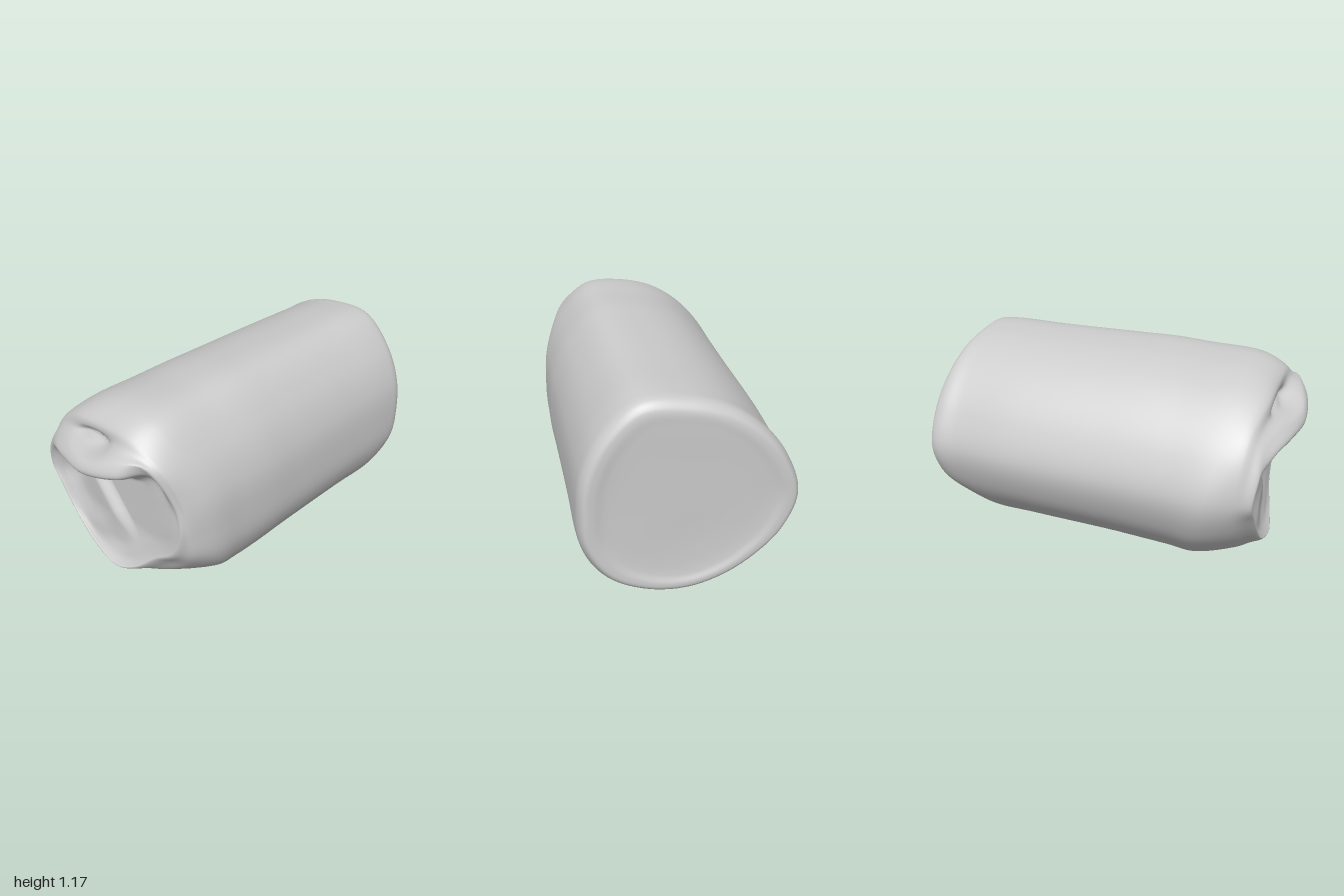
import * as THREE from 'three';
import { mergeVertices } from 'three/addons/utils/BufferGeometryUtils.js';

const SIDES = 16, STEPS = 7, AROUND = 128;
const V = (x, y, z) => new THREE.Vector3(x, y, z);
const { smoothstep, lerp } = THREE.MathUtils;
const CX = 0.02, CY = 0.58;

// Radii of the squashed can outline, anticlockwise from +x
const OUTLINE = [.53, .545, .58, .62, .575, .55, .537, .545, .57, .55, .538, .555, .58, .59, .59, .56];
const angle = i => i / SIDES * Math.PI * 2;

// One loop of control points: outline radius times scale(i), at depth z(i)
const ring = (scale, z) => OUTLINE.map((r, i) => {
  const s = r * scale(i);
  return V(CX + Math.cos(angle(i)) * s, CY + Math.sin(angle(i)) * s, z(i));
});
const lerpLoop = (a, b, t) => a.map((p, i) => p.clone().lerp(b[i], t));
const points = list => list.map(p => V(...p));

// Weights for the underside, the top and the sides of the outline
const low = i => Math.max(0, -Math.sin(angle(i) + 0.1)) ** 2;
const high = i => Math.max(0, Math.sin(angle(i))) ** 2;
const side = i => Math.cos(angle(i));

// Depth of the dented front: a shallow basin on the right, stepping up over a
// diagonal fold on the left and rising towards the bottom edge
function floorDepth(x, y) {
  const across = -.762 * (x + .06) - .647 * (y - .58);
  const along = .647 * (x + .06) - .762 * (y - .58);
  const fold = smoothstep(across, -.045, .03) * (1 - smoothstep(Math.abs(along), .1, .32));
  const trough = smoothstep(across, .03, .17);
  const rise = 1 - smoothstep(y, .18, .48);
  return .765 + .045 * fold - .005 * trough + .05 * rise;
}

// Narrow eye-shaped groove around a small bump, above the lip
function eyeGroove(x, y) {
  const d = Math.hypot((x + .04) / .14, (y - .97 - .1 * (x + .04)) / .04);
  return .022 * Math.exp(-(((d - .65) / .35) ** 2));
}

// Skin a net of control loops, running back to front, with smooth curves;
// shape(point, row) adds detail, with row counted in loops
function skin(loops, shape) {
  const columns = Array.from({ length: SIDES }, (_, i) =>
    new THREE.CatmullRomCurve3(loops.map(l => l[i])));
  const rows = (loops.length - 1) * STEPS, pos = [], index = [];
  for (let j = 0; j <= rows; j++) {
    const loop = new THREE.CatmullRomCurve3(columns.map(c => c.getPoint(j / rows)), true);
    for (let i = 0; i < AROUND; i++) {
      const p = loop.getPoint(i / AROUND);
      shape(p, j / STEPS);
      pos.push(p.x, p.y, p.z);
    }
  }
  for (let j = 0; j < rows; j++) for (let i = 0; i < AROUND; i++) {
    const a = j * AROUND + i, b = j * AROUND + (i + 1) % AROUND;
    if (j > 0) index.push(a, b, b + AROUND);
    else index.push(a, b + AROUND, a + AROUND);
    if (j > 0 && j < rows - 1) index.push(a, b + AROUND, a + AROUND);
  }
  let geo = new THREE.BufferGeometry();
  geo.setAttribute('position', new THREE.Float32BufferAttribute(pos, 3));
  geo.setIndex(index);
  geo = mergeVertices(geo, 1e-5);
  geo.computeVertexNormals();
  return geo;
}

export function createModel() {
  const group = new THREE.Group();
  group.name = 'crushedCan';

  // Back end: barely dished base inside a soft, tilted rim, cut away below
  const back = [
    ring(() => 0, () => -.96),
    ring(() => .4, i => -.96 + side(i) * .008),
    ring(i => .74 - .06 * low(i), i => -.962 + side(i) * .016 - .01 * low(i)),
    ring(i => .85 - .1 * low(i), i => -.972 + side(i) * .018 - .014 * low(i) + .012 * high(i)),
    ring(i => .925 - .12 * low(i) - .03 * high(i), i => -.967 + side(i) * .018 - .012 * low(i) + .018 * high(i)),
    ring(i => .97 - .08 * low(i) - .03 * high(i), i => -.92 + side(i) * .012 + .015 * low(i)),
  ];

  // Long barrel, slightly waisted at the back and fullest near the front
  const barrel = [
    ring(i => .968 + .03 * low(i) + .015 * side(i) - .01 * high(i), i => -.82 + .03 * low(i)),
    ring(i => .98 + .015 * low(i) - .012 * high(i), () => -.5),
    ring(i => .985 + .005 * high(i), () => 0),
    ring(i => .99 + .008 * high(i), () => .2),
    ring(i => .99 - .01 * side(i), i => .4 - .05 * low(i)),
  ];
  const shoulderZ = [.58, .62, .67, .7, .71, .7, .68, .66, .63, .59, .54, .5, .47, .46, .46, .55];
  barrel.push(ring(i => .99 - .025 * side(i) - .018 * high(i), i => shoulderZ[i]));

  // Crumpled shoulder, leaning in towards the front rim
  const shoulder = points([
    [.49, .58, .71], [.465, .78, .74], [.39, .98, .79], [.22, 1.08, .83],
    [0, 1.065, .84], [-.18, 1.03, .835], [-.37, .92, .8], [-.475, .77, .78],
    [-.515, .58, .76], [-.45, .42, .76], [-.33, .26, .74], [-.17, .15, .74],
    [.03, .125, .73], [.2, .14, .69], [.37, .25, .65], [.48, .41, .68],
  ]);
  // Front rim, with the top of a thick lip jutting out
  const rim = points([
    [.455, .58, .755], [.435, .76, .765], [.33, 1, .865], [.23, .99, .925],
    [.02, .93, .97], [-.17, .915, .925], [-.35, .85, .88], [-.44, .72, .875],
    [-.47, .58, .86], [-.4, .48, .86], [-.29, .34, .86], [-.16, .22, .86],
    [.03, .165, .86], [.15, .21, .83], [.28, .33, .785], [.4, .43, .765],
  ]);
  // Ledge pressed in behind the lip
  const ledge = lerpLoop(shoulder, rim, .5);
  ledge[3] = V(.21, 1.035, .865);
  ledge[4] = V(-.01, .975, .85);
  ledge[5] = V(-.16, .965, .86);

  // Inner edge of the rim, running into the dent
  const wall = points([
    [.4, .59, .76], [.38, .75, .762], [.3, .87, .775], [.18, .85, .85],
    [.02, .795, .885], [-.14, .785, .88], [-.28, .77, .86], [-.36, .69, .845],
    [-.39, .58, .835], [-.34, .48, .835], [-.24, .33, .835], [-.13, .25, .835],
    [.02, .21, .83], [.13, .25, .81], [.23, .37, .78], [.34, .47, .762],
  ]);
  // Rounded front of the lip
  const lip = lerpLoop(rim, wall, .35);
  lip[2] = V(.33, .94, .835);
  lip[3] = V(.24, .925, .94);
  lip[4] = V(.02, .87, .992);
  lip[5] = V(-.17, .85, .965);
  lip[6] = V(-.31, .815, .92);

  // Floor of the dent, closing to a point
  const dent = [.25, .5, .75, 1].map(t => wall.map(p => p.clone().lerp(V(.02, .54, .77), t)));

  const loops = [...back, ...barrel, shoulder, ledge, rim, lip, wall, ...dent];
  const wallRow = loops.indexOf(wall), shoulderRow = loops.indexOf(shoulder);
  const geometry = skin(loops, (p, row) => {
    p.z = lerp(p.z, floorDepth(p.x, p.y), smoothstep(row, wallRow - .2, wallRow + 1.2));
    if (row > shoulderRow - .5 && row < wallRow - 1) p.z -= eyeGroove(p.x, p.y);
  });

  // Rest the can on the ground, centred
  geometry.computeBoundingBox();
  const mid = geometry.boundingBox.getCenter(V(0, 0, 0));
  geometry.translate(-mid.x, -geometry.boundingBox.min.y, -mid.z);

  const mesh = new THREE.Mesh(geometry,
    new THREE.MeshStandardMaterial({ color: 0xcccccc, side: THREE.DoubleSide }));
  mesh.name = 'dentedCanBody';
  group.add(mesh);
  return group;
}
